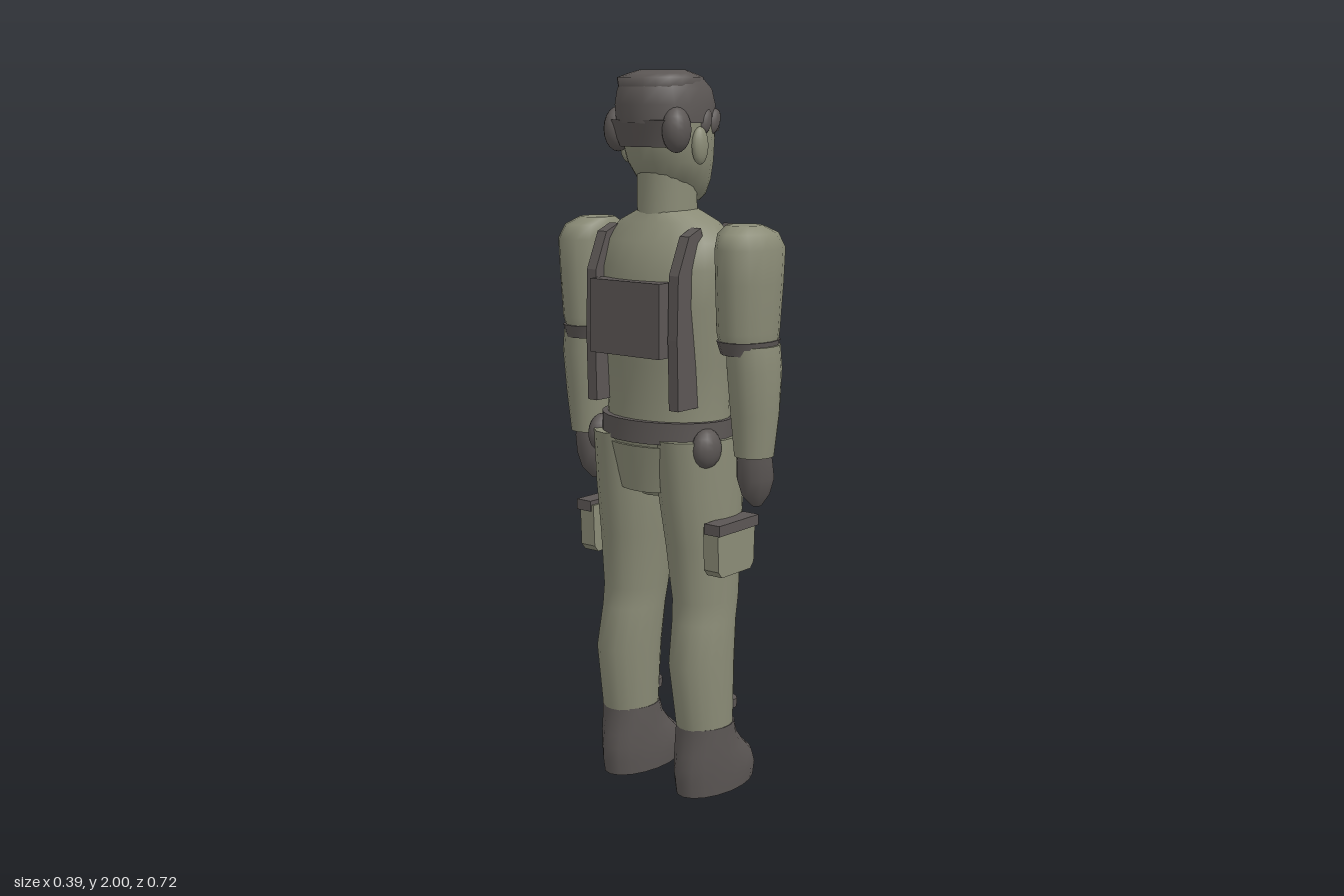
import * as THREE from 'three';

const olive = new THREE.MeshStandardMaterial({ color: 0x8a8b76, side: THREE.DoubleSide });
olive.name = 'olive cloth';
const dark = new THREE.MeshStandardMaterial({ color: 0x5b5654, side: THREE.DoubleSide });
dark.name = 'dark gear';

// Skin over oval sections, listed upwards: [y, xBack, xFront, zCentre, zRadius]
function loft(rings, n = 18, side = 1) {
  const pos = [], idx = [];
  const addRing = ([y, x0, x1, cz, rz]) => {
    for (let i = 0; i < n; i++) {
      const a = (i / n) * Math.PI * 2;
      pos.push((x0 + x1) / 2 + Math.cos(a) * (x1 - x0) / 2, y, cz * side + Math.sin(a) * rz);
    }
  };
  rings.forEach(addRing);
  for (let r = 0; r < rings.length - 1; r++) {
    for (let i = 0; i < n; i++) {
      const j = (i + 1) % n, a = r * n + i, b = r * n + j;
      idx.push(a, a + n, b, b, a + n, b + n);
    }
  }
  // end caps with their own corners
  [rings[0], rings[rings.length - 1]].forEach((ring, top) => {
    const s = pos.length / 3;
    addRing(ring);
    pos.push((ring[1] + ring[2]) / 2, ring[0], ring[3] * side);
    for (let i = 0; i < n; i++) {
      const j = (i + 1) % n;
      if (top) idx.push(s + n, s + j, s + i);
      else idx.push(s + n, s + i, s + j);
    }
  });
  const g = new THREE.BufferGeometry();
  g.setAttribute('position', new THREE.Float32BufferAttribute(pos, 3));
  g.setIndex(idx);
  g.computeVertexNormals();
  return g;
}

// Flat outline in the side plane, given thickness across z
function slab(points, z, thick) {
  const shape = new THREE.Shape(points.map(p => new THREE.Vector2(...p)));
  return new THREE.ExtrudeGeometry(shape, { depth: thick, bevelEnabled: false }).translate(0, 0, z - thick / 2);
}

// Flat outline in the front plane (z, y), given thickness along x
function panel(points, x, thick, bevel = 0) {
  const shape = new THREE.Shape(points.map(p => new THREE.Vector2(...p)));
  return new THREE.ExtrudeGeometry(shape, {
    depth: thick, bevelEnabled: bevel > 0, bevelSize: bevel, bevelThickness: bevel, bevelSegments: 2,
  }).rotateY(Math.PI / 2).scale(1, 1, -1).rotateY(0).translate(x, 0, 0);
}

export function createModel() {
  const model = new THREE.Group();
  model.name = 'standing figure';
  const add = (name, geo, mat) => {
    const m = new THREE.Mesh(geo, mat);
    m.name = name;
    model.add(m);
    return m;
  };
  const ball = (name, mat, p, r) => {
    const m = add(name, new THREE.SphereGeometry(1, 14, 10), mat);
    m.position.set(...p);
    m.scale.set(...r);
    return m;
  };
  const box = (name, mat, p, s) => {
    const m = add(name, new THREE.BoxGeometry(...s), mat);
    m.position.set(...p);
    return m;
  };

  // Torso, collar and belt
  add('torso', loft([
    [1.0, -0.155, 0.14, 0, 0.19], [1.1, -0.15, 0.135, 0, 0.185], [1.22, -0.155, 0.145, 0, 0.195],
    [1.38, -0.172, 0.16, 0, 0.208], [1.48, -0.165, 0.16, 0, 0.212], [1.55, -0.14, 0.135, 0, 0.2],
    [1.6, -0.11, 0.10, 0, 0.15], [1.632, -0.095, 0.075, 0, 0.078]], 24), olive);
  add('neck', loft([[1.6, -0.1, 0.075, 0, 0.08], [1.75, -0.1, 0.065, 0, 0.08]]), olive);
  add('belt', loft([[1.01, -0.172, 0.152, 0, 0.2], [1.07, -0.17, 0.15, 0, 0.2]], 24), dark);
  ball('buckle', olive, [0.152, 1.04, 0], [0.012, 0.025, 0.037]);
  box('backPack', dark, [-0.17, 1.35, 0], [0.056, 0.2, 0.24]);

  // Hips and front panel
  add('hips', loft([[0.85, -0.1, 0.09, 0, 0.06], [0.92, -0.15, 0.13, 0, 0.15],
    [1.02, -0.165, 0.145, 0, 0.2]]), olive);
  add('crotchPanel', loft([[0.83, 0.0, 0.135, 0, 0.065], [0.86, 0.0, 0.142, 0, 0.085],
    [1.0, 0.0, 0.152, 0, 0.112]], 18), olive);
  add('seatPanel', loft([[0.87, -0.15, 0, 0, 0.1], [1.0, -0.17, 0, 0, 0.14]]), olive);

  // Head
  add('head', loft([
    [1.652, 0.01, 0.1, 0, 0.045], [1.67, -0.02, 0.112, 0, 0.068], [1.71, -0.085, 0.117, 0, 0.098],
    [1.76, -0.12, 0.118, 0, 0.115], [1.82, -0.14, 0.118, 0, 0.124], [1.9, -0.15, 0.115, 0, 0.122]], 20), olive);
  ball('nose', olive, [0.13, 1.805, 0], [0.025, 0.042, 0.024]);
  box('mouth', dark, [0.112, 1.737, 0], [0.02, 0.009, 0.06]);
  add('hair', loft([
    [1.862, -0.165, 0.12, 0, 0.126], [1.91, -0.172, 0.125, 0, 0.127], [1.95, -0.168, 0.118, 0, 0.117],
    [1.975, -0.15, 0.085, 0, 0.105]], 20), dark);
  add('cap', loft([[1.955, -0.163, 0.075, 0, 0.108], [1.98, -0.166, 0.078, 0, 0.112],
    [1.99, -0.135, 0.055, 0, 0.09], [2.0, -0.1, 0.03, 0, 0.06]], 20), dark);
  add('backHair', loft([[1.8, -0.145, -0.08, 0, 0.08], [1.87, -0.163, -0.05, 0, 0.115]]), dark);

  for (const s of [1, -1]) {
    const side = s > 0 ? 'left' : 'right';
    const name = part => side + part;
    // Sorts panel corners onto this side
    const mir = pts => pts.map(([z, y]) => [z * s, y]);

    // Face and hair details
    ball(name('Ear'), olive, [-0.03, 1.803, 0.124 * s], [0.029, 0.05, 0.018]);
    ball(name('HairTuft'), dark, [-0.1, 1.845, 0.1 * s], [0.045, 0.06, 0.036]);
    box(name('Brow'), dark, [0.1, 1.848, 0.052 * s], [0.03, 0.01, 0.05]).rotation.x = 0.2 * s;
    box(name('Eye'), dark, [0.103, 1.828, 0.05 * s], [0.016, 0.011, 0.032]);
    for (const [x, z] of [[0.09, 0.078], [0.05, 0.108], [0.0, 0.118]]) {
      const tuft = ball(name('Fringe'), dark, [x, 1.865, z * s], [0.022, 0.035, 0.014]);
      tuft.rotation.z = -0.4;
    }

    // Arm
    add(name('Sleeve'), loft([
      [1.28, -0.095, 0.085, 0.272, 0.07], [1.32, -0.108, 0.088, 0.273, 0.076],
      [1.45, -0.118, 0.1, 0.275, 0.079], [1.54, -0.122, 0.104, 0.276, 0.081],
      [1.58, -0.105, 0.088, 0.268, 0.07], [1.6, -0.06, 0.04, 0.257, 0.048]], 16, s), olive);
    add(name('SleeveBand'), loft([[1.262, -0.095, 0.08, 0.275, 0.07],
      [1.298, -0.108, 0.09, 0.273, 0.077]], 16, s), dark);
    add(name('Forearm'), loft([
      [0.985, -0.062, 0.05, 0.293, 0.053], [1.1, -0.075, 0.065, 0.294, 0.064],
      [1.22, -0.09, 0.075, 0.293, 0.069], [1.285, -0.09, 0.075, 0.288, 0.067]], 16, s), olive);
    add(name('Hand'), loft([
      [0.842, 0.0, 0.03, 0.288, 0.012], [0.875, -0.035, 0.055, 0.288, 0.035],
      [0.92, -0.05, 0.066, 0.288, 0.048], [0.97, -0.055, 0.055, 0.29, 0.046],
      [1.0, -0.05, 0.04, 0.292, 0.045]], 12, s), dark);

    // Leg, boot and lace
    add(name('Leg'), loft([
      [0.18, -0.1, 0.07, 0.136, 0.076], [0.38, -0.13, 0.08, 0.132, 0.084],
      [0.5, -0.108, 0.092, 0.127, 0.084], [0.56, -0.103, 0.105, 0.125, 0.086],
      [0.72, -0.12, 0.12, 0.118, 0.096], [0.86, -0.142, 0.134, 0.112, 0.104],
      [1.02, -0.16, 0.148, 0.108, 0.104]], 18, s), olive);
    add(name('Boot'), loft([
      [0, -0.112, 0.184, 0.134, 0.08], [0.04, -0.118, 0.19, 0.134, 0.084],
      [0.08, -0.118, 0.172, 0.134, 0.085], [0.12, -0.112, 0.125, 0.135, 0.083],
      [0.16, -0.105, 0.088, 0.135, 0.081], [0.2, -0.102, 0.076, 0.136, 0.079]], 18, s), dark);
    add(name('Lace'), loft([[0.238, 0.0, 0.078, 0.136, 0.066],
      [0.262, 0.0, 0.08, 0.136, 0.066]], 16, s), dark);

    // Cargo pocket on the thigh
    add(name('CargoPocket'), slab([[-0.105, 0.79], [-0.1, 0.67], [-0.085, 0.652], [0.045, 0.652],
      [0.06, 0.67], [0.065, 0.79]], 0.222 * s, 0.05), olive);
    box(name('CargoFlap'), dark, [-0.02, 0.787, 0.23 * s], [0.178, 0.03, 0.052]);

    // Harness straps, front and back
    add(name('FrontStrap'), slab([[0.05, 1.115], [0.142, 1.115], [0.146, 1.3], [0.148, 1.45],
      [0.115, 1.56], [0.07, 1.595], [0.05, 1.56], [0.09, 1.45]], 0.143 * s, 0.032), dark);
    add(name('BackStrap'), slab([[-0.08, 1.11], [-0.165, 1.11], [-0.17, 1.3], [-0.165, 1.47],
      [-0.12, 1.57], [-0.07, 1.59], [-0.06, 1.56], [-0.1, 1.45]], 0.143 * s, 0.032), dark);

    // Chest pocket, flap and round pouch
    add(name('ChestPocket'), panel(mir([[0.065, 1.33], [0.15, 1.33], [0.155, 1.4], [0.06, 1.4]]), 0.1, 0.053), olive);
    add(name('ChestFlap'), panel(mir([[0.058, 1.375], [0.163, 1.375], [0.163, 1.412], [0.058, 1.412]]), 0.1, 0.064), olive);
    ball(name('Pouch'), dark, [0.135, 1.252, 0.087 * s], [0.042, 0.08, 0.054]);
    ball(name('HipPouch'), dark, [-0.075, 1.0, 0.185 * s], [0.05, 0.055, 0.035]);
  }
  return model;
}
